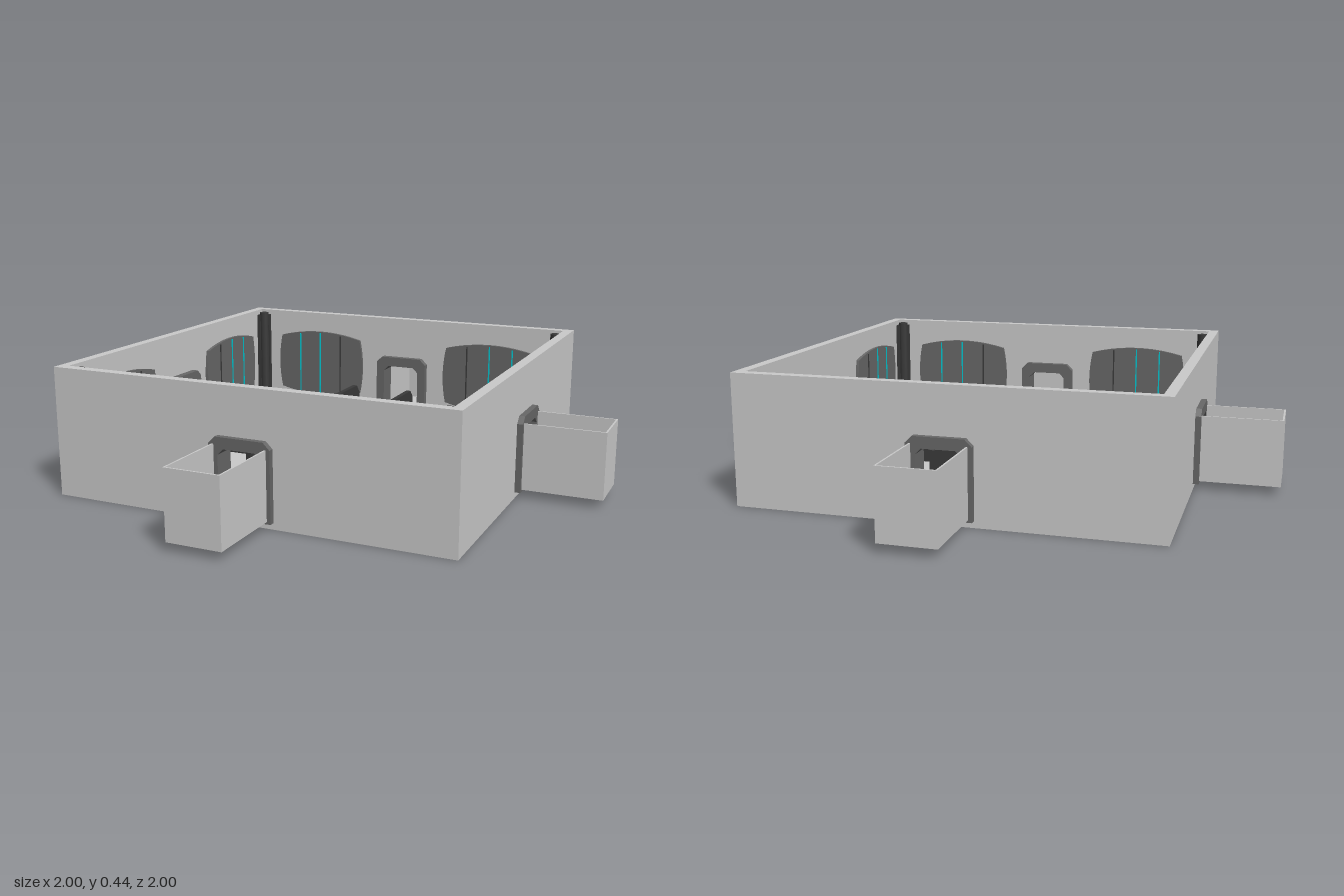
import * as THREE from 'three';

const mat = (name, color) => {
  const m = new THREE.MeshStandardMaterial({ color });
  m.name = name;
  return m;
};

export function createModel() {
  const light = mat('lightGrey', 0xcacaca);
  const mid = mat('midGrey', 0x686868);
  const dark = mat('darkGrey', 0x3a3a3a);
  const cyan = mat('cyan', 0x00c8d2);

  const OUT = 0.707, T = 0.035, IN = OUT - T, H = 0.445, FLOOR = 0.035;
  const model = new THREE.Group();
  model.name = 'hubRoom';

  const add = (parent, name, geo, material, x = 0, y = 0, z = 0) => {
    const m = new THREE.Mesh(geo, material);
    m.name = name;
    m.position.set(x, y, z);
    parent.add(m);
    return m;
  };
  const box = (parent, name, material, w, h, d, x, y, z) =>
    add(parent, name, new THREE.BoxGeometry(w, h, d), material, x, y, z);
  const poly = (pts, Type = THREE.Shape) => new Type(pts.map(p => new THREE.Vector2(...p)));
  const extrude = (shape, depth) =>
    new THREE.ExtrudeGeometry(shape, { depth, bevelEnabled: false, curveSegments: 10 });

  // Floor slab, slightly above the lower rim of the walls
  box(model, 'floor', light, IN * 2, 0.023, IN * 2, 0, 0.0235, 0);

  // Octagonal platform with four pod openings
  const platform = poly([[-0.44, -0.58], [0.44, -0.58], [0.58, -0.44], [0.58, 0.44],
    [0.44, 0.58], [-0.44, 0.58], [-0.58, 0.44], [-0.58, -0.44]]);
  const pod = [[0.11, 0.17], [0.11, 0.465], [0.33, 0.465], [0.465, 0.33], [0.465, 0.11], [0.17, 0.11]];
  for (const sx of [-1, 1]) for (const sz of [-1, 1])
    platform.holes.push(poly(pod.map(([a, b]) => [a * sx, b * sz]), THREE.Path));
  const platformGeo = new THREE.ExtrudeGeometry(platform, {
    depth: 0.01, bevelThickness: 0.01, bevelSize: 0.02, bevelOffset: -0.02, bevelSegments: 1 });
  add(model, 'platform', platformGeo.rotateX(-Math.PI / 2), mid, 0, 0.035, 0);

  // Shared outlines: wall with doorway, door frame, bulged wall panel, pod partition
  const wall = poly([[-OUT, 0], [OUT - T, 0], [OUT - T, H], [-OUT, H]]);
  wall.holes.push(poly([[-0.09, 0.03], [-0.09, 0.265], [0.09, 0.265], [0.09, 0.03]], THREE.Path));
  const wallGeo = extrude(wall, T);

  const frameGeo = extrude(poly([[-0.108, 0.022], [-0.075, 0.022], [-0.075, 0.225], [-0.055, 0.245],
    [0.055, 0.245], [0.075, 0.225], [0.075, 0.022], [0.108, 0.022], [0.108, 0.26], [0.085, 0.283],
    [-0.085, 0.283], [-0.108, 0.26]]), 0.08);

  const panel = new THREE.Shape();
  panel.moveTo(-0.185, 0.11);
  panel.quadraticCurveTo(0, 0.06, 0.185, 0.11);
  panel.quadraticCurveTo(0.21, 0.225, 0.185, 0.34);
  panel.quadraticCurveTo(0, 0.39, -0.185, 0.34);
  panel.quadraticCurveTo(-0.21, 0.225, -0.185, 0.11);
  const panelGeo = extrude(panel, 0.012);

  const partitionGeo = extrude(poly([[0.17, FLOOR], [0.46, FLOOR], [0.46, 0.17], [0.435, 0.2],
    [0.2, 0.2], [0.17, 0.17]]), 0.018);

  for (let i = 0; i < 4; i++) {
    // One side of the room, built facing +z
    const side = new THREE.Group();
    side.name = 'roomSide';
    side.rotation.y = i * Math.PI / 2;
    model.add(side);

    add(side, 'wall', wallGeo, light, 0, 0, IN);
    add(side, 'doorFrame', frameGeo, mid, 0, 0, 0.647);

    for (const s of [-1, 1]) {
      box(side, 'baseboard', dark, 0.555, 0.03, 0.014, s * 0.386, 0.05, 0.665);
      box(side, 'cornerRib', dark, 0.035, 0.39, 0.014, s * 0.645, 0.23, 0.665);
      add(side, 'wallPanel', panelGeo, mid, s * 0.38, 0, 0.66);
      // Thin seams across each panel, two of them glowing
      box(side, 'panelLight', cyan, 0.005, 0.27, 0.004, s * 0.38, 0.225, 0.659);
      box(side, 'panelLight', cyan, 0.005, 0.255, 0.004, s * 0.475, 0.225, 0.659);
      box(side, 'panelSeam', dark, 0.005, 0.255, 0.004, s * 0.285, 0.225, 0.659);
      // Side walls of the passage
      box(side, 'passageWall', light, 0.006, 0.23, 0.28, s * 0.092, 0.145, 0.86);
    }
    // Open-topped passage
    box(side, 'passageFloor', light, 0.19, 0.006, 0.3, 0, 0.033, 0.85);
    box(side, 'passageEnd', light, 0.19, 0.23, 0.006, 0, 0.145, 0.997);

    // Corner column
    add(side, 'cornerColumn', new THREE.CylinderGeometry(0.02, 0.02, 0.4, 8), dark, 0.648, 0.235, 0.648);

    // Pod: two partitions, a short post and three floor lights
    const podGroup = new THREE.Group();
    podGroup.name = 'pod';
    side.add(podGroup);
    add(podGroup, 'partition', partitionGeo, dark, 0, 0, 0.108);
    add(podGroup, 'partition', partitionGeo, dark, 0.108, 0, 0).rotation.y = -Math.PI / 2;
    podGroup.children[1].position.x = 0.126;
    add(podGroup, 'post', new THREE.CylinderGeometry(0.016, 0.016, 0.025, 12), dark, 0.163, 0.047, 0.163);
    for (const k of [-1, 0, 1]) {
      const bar = box(podGroup, 'floorLight', cyan, 0.085, 0.006, 0.018,
        0.343 + k * 0.034, 0.037, 0.343 - k * 0.034);
      bar.rotation.y = -Math.PI / 4;
    }
  }
  return model;
}
